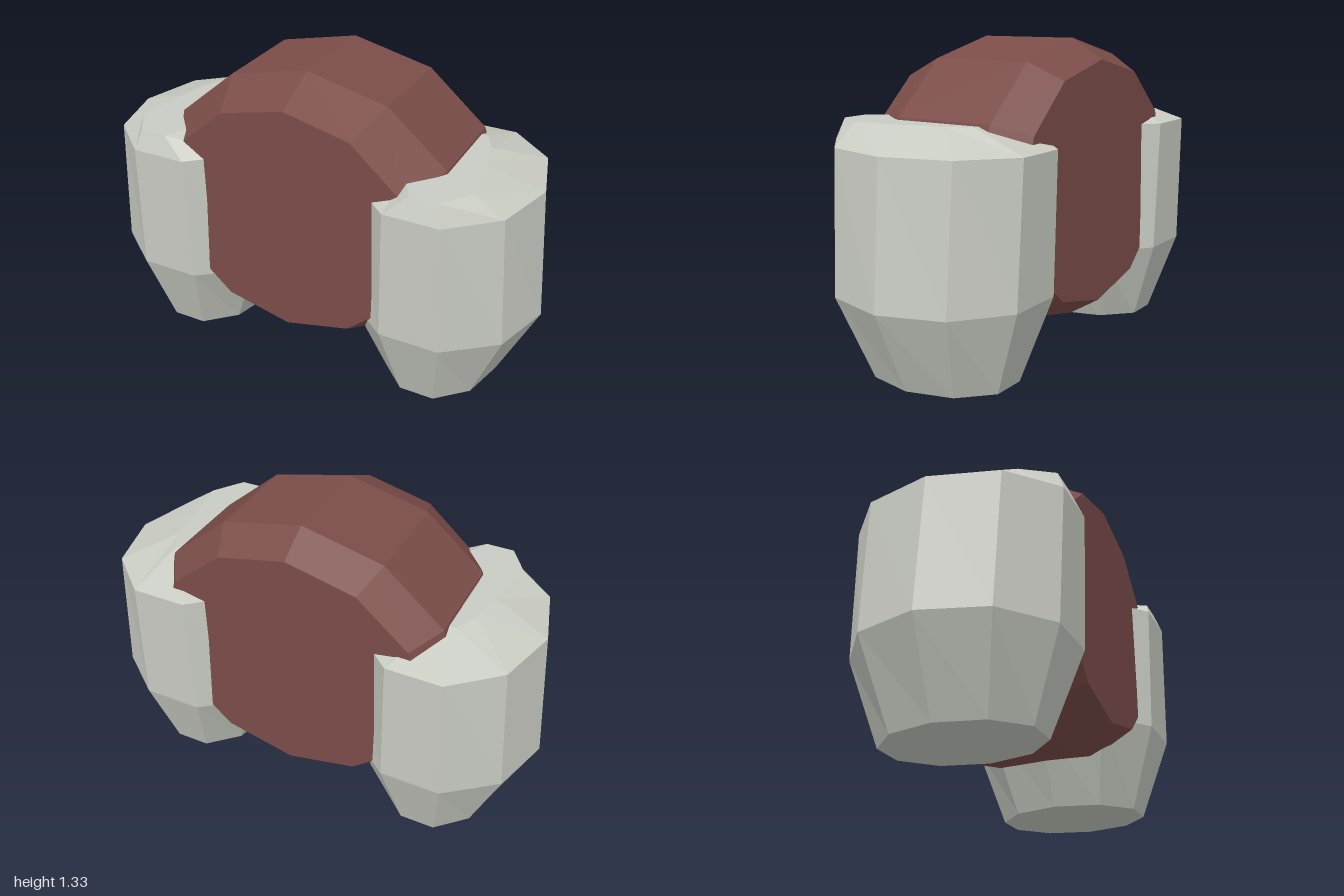
import * as THREE from 'three';

// Faceted loft through closed rings, capped with fans at both ends
function loft(rings) {
  const pos = [];
  const tri = (...pts) => pts.forEach(p => pos.push(...p));
  const centre = ring => [0, 1, 2].map(k => ring.reduce((s, p) => s + p[k], 0) / ring.length);
  const n = rings[0].length, last = rings.length - 1;
  const bottom = centre(rings[0]), top = centre(rings[last]);
  for (let j = 0; j < n; j++) {
    const k = (j + 1) % n;
    for (let i = 0; i < last; i++) {
      const [a, b, c, d] = [rings[i][j], rings[i][k], rings[i + 1][k], rings[i + 1][j]];
      tri(a, d, c);
      tri(a, c, b);
    }
    tri(bottom, rings[0][j], rings[0][k]);
    tri(top, rings[last][k], rings[last][j]);
  }
  const g = new THREE.BufferGeometry();
  g.setAttribute('position', new THREE.Float32BufferAttribute(pos, 3));
  g.computeVertexNormals();
  return g;
}

// Unit polygon mapped to points by a function of (cos, sin)
const polygon = (n, map) => Array.from({ length: n }, (_, i) => {
  const a = (i / n) * Math.PI * 2;
  return map(Math.cos(a), Math.sin(a));
});

export function createModel() {
  const group = new THREE.Group();
  const material = color => new THREE.MeshStandardMaterial({ color, flatShading: true });
  const shellMaterial = material(0xc9ccc3);

  // Central drum: bevelled 12-sided oval running front to back, [z, rx, ry]
  const drumRings = [[0.39, 0.575, 0.505], [0.19, 0.705, 0.6], [-0.25, 0.705, 0.6], [-0.39, 0.605, 0.515]]
    .map(([z, rx, ry]) => polygon(12, (c, s) => [c * rx, 0.73 + s * ry, z]));
  const drum = new THREE.Mesh(loft(drumRings), material(0x7b4d49));
  drum.name = 'centralDrum';
  group.add(drum);

  // Side shells: 10-sided columns, [y, centre x, rx, rz]
  const sideRings = [[0, 0.585, 0.247, 0.331], [0.355, 0.58, 0.42, 0.457], [0.935, 0.572, 0.384, 0.475]]
    .map(([y, cx, rx, rz]) => polygon(10, (c, s) => [cx + c * rx, y, s * rz]));
  // Narrow top, sloping further down at the back, [x, z]
  sideRings.push([
    [0.72, 0.05], [0.755, 0.29], [0.67, 0.42], [0.55, 0.42], [0.48, 0.29],
    [0.5, 0.05], [0.53, -0.1], [0.57, -0.2], [0.64, -0.2], [0.69, -0.1],
  ].map(([x, z]) => [x, 1.02, z]));

  for (const side of [1, -1]) {
    const rings = side > 0 ? sideRings
      : sideRings.map(r => r.map(([x, y, z]) => [-x, y, z]).reverse());
    const shell = new THREE.Mesh(loft(rings), shellMaterial);
    shell.name = side > 0 ? 'leftShell' : 'rightShell';
    group.add(shell);
  }
  return group;
}
